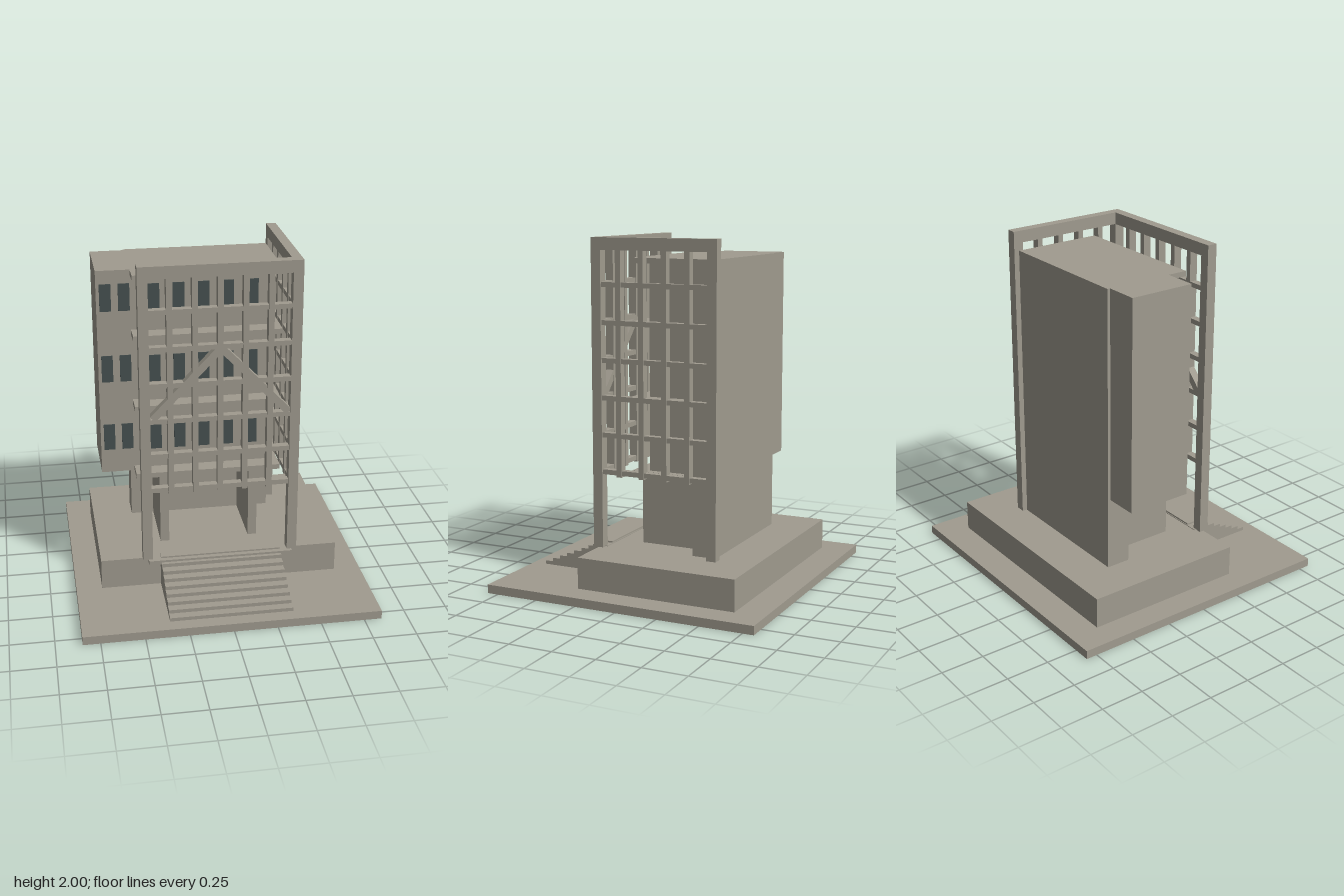
import * as THREE from 'three';

const concrete = new THREE.MeshStandardMaterial({ color: 0xa09b8f });
concrete.name = 'concrete';
const glass = new THREE.MeshStandardMaterial({ color: 0x465050 });
glass.name = 'dark glass';

// Box given by its minimum and maximum on each axis
function box(parent, name, [x0, x1], [y0, y1], [z0, z1], material = concrete) {
  const mesh = new THREE.Mesh(new THREE.BoxGeometry(x1 - x0, y1 - y0, z1 - z0), material);
  mesh.position.set((x0 + x1) / 2, (y0 + y1) / 2, (z0 + z1) / 2);
  mesh.name = name;
  parent.add(mesh);
  return mesh;
}

const around = (centre, size) => [centre - size / 2, centre + size / 2];

function addGroup(parent, name) {
  const group = new THREE.Group();
  group.name = name;
  parent.add(group);
  return group;
}

// Solid flight of stairs, extruded across x from its stepped side profile
function createStairs() {
  const steps = 9, run = 0.049, rise = 0.0215, front = 0.734, back = 0.28;
  const profile = new THREE.Shape();
  profile.moveTo(-back, 0.05);
  profile.lineTo(-front, 0.05);
  for (let i = 0; i < steps; i++) {
    const z = front - i * run, y = 0.071 + i * rise;
    profile.lineTo(-z, y);
    profile.lineTo(i === steps - 1 ? -back : -(z - run), y);
  }
  profile.closePath();
  const geometry = new THREE.ExtrudeGeometry(profile, { depth: 0.706, bevelEnabled: false });
  geometry.rotateY(Math.PI / 2);
  geometry.translate(-0.353, 0, 0);
  const stairs = new THREE.Mesh(geometry, concrete);
  stairs.name = 'stairs';
  return stairs;
}

export function createModel() {
  const model = new THREE.Group();
  model.name = 'tower';

  // Ground slab, podium, stairs and threshold
  box(model, 'groundSlab', [-0.85, 0.85], [0, 0.05], [-0.815, 0.815]);
  box(model, 'podium', [-0.7, 0.695], [0.05, 0.23], [-0.64, 0.315]);
  model.add(createStairs());
  box(model, 'threshold', [-0.425, 0.42], [0.208, 0.234], [0.275, 0.37]);

  // Main building: back core, lobby walls, floors, rooms and side wing
  const building = addGroup(model, 'building');
  box(building, 'backCore', [-0.463, 0.387], [0.23, 1.888], [-0.392, -0.25]);
  for (const x of [-0.303, 0.225])
    box(building, 'lobbyWall', around(x, 0.052), [0.23, 0.66], [-0.25, 0.13]);
  for (const y of [0.67, 1.095, 1.52, 1.873])
    box(building, 'floorSlab', [-0.463, 0.387], around(y, 0.03), [-0.25, 0.13]);
  box(building, 'rooms', [-0.42, 0.345], [0.67, 1.873], [-0.25, 0.035]);
  box(building, 'sideWing', [-0.655, -0.42], [0.655, 1.888], [-0.375, 0.012]);

  // Windows on three storeys
  const windows = addGroup(building, 'windows');
  for (const y of [0.88, 1.305, 1.73]) {
    for (let i = 0; i < 5; i++)
      box(windows, 'roomWindow', around(-0.335 + i * 0.141, 0.067), around(y, 0.16), [0.034, 0.039], glass);
    for (const x of [-0.604, -0.499])
      box(windows, 'wingWindow', around(x, 0.065), around(y, 0.16), [0.011, 0.016], glass);
  }

  // Posts and top beams of the L-shaped screen
  const screen = addGroup(model, 'screen');
  box(screen, 'cornerPost', [0.393, 0.45], [0.23, 1.93], [0.288, 0.347]);
  box(screen, 'frontPost', [-0.457, -0.4], [0.23, 1.93], [0.288, 0.347]);
  box(screen, 'rearPost', [0.393, 0.45], [0.23, 1.93], [-0.42, -0.362]);
  box(screen, 'frontBeam', [-0.457, 0.45], [1.93, 2], [0.288, 0.347]);
  box(screen, 'sideBeam', [0.393, 0.45], [1.93, 2], [-0.42, 0.288]);

  // Lattice bars between the posts
  for (let i = 0; i < 5; i++)
    box(screen, 'frontUpright', around(-0.286 + i * 0.141, 0.032), [0.65, 1.93], [0.293, 0.342]);
  for (let i = 0; i < 4; i++)
    box(screen, 'sideUpright', [0.398, 0.445], [0.65, 1.93], around(0.182 - i * 0.141, 0.032));
  for (let i = 0; i < 6; i++) {
    const y = around(0.674 + i * 0.213, 0.028);
    box(screen, 'frontRail', [-0.4, 0.393], y, [0.296, 0.339]);
    box(screen, 'sideRail', [0.401, 0.442], y, [-0.362, 0.288]);
  }

  // Diagonal braces meeting at the middle of the front
  for (const side of [-1, 1]) {
    const from = new THREE.Vector2(0, 1.518), to = new THREE.Vector2(side * 0.385, 1.115);
    const span = to.clone().sub(from);
    const brace = box(screen, 'diagonalBrace', around(0, span.length()), around(0, 0.042), around(0, 0.045));
    brace.position.set((from.x + to.x) / 2, (from.y + to.y) / 2, 0.3175);
    brace.rotation.z = Math.atan2(span.y, span.x);
  }

  return model;
}
